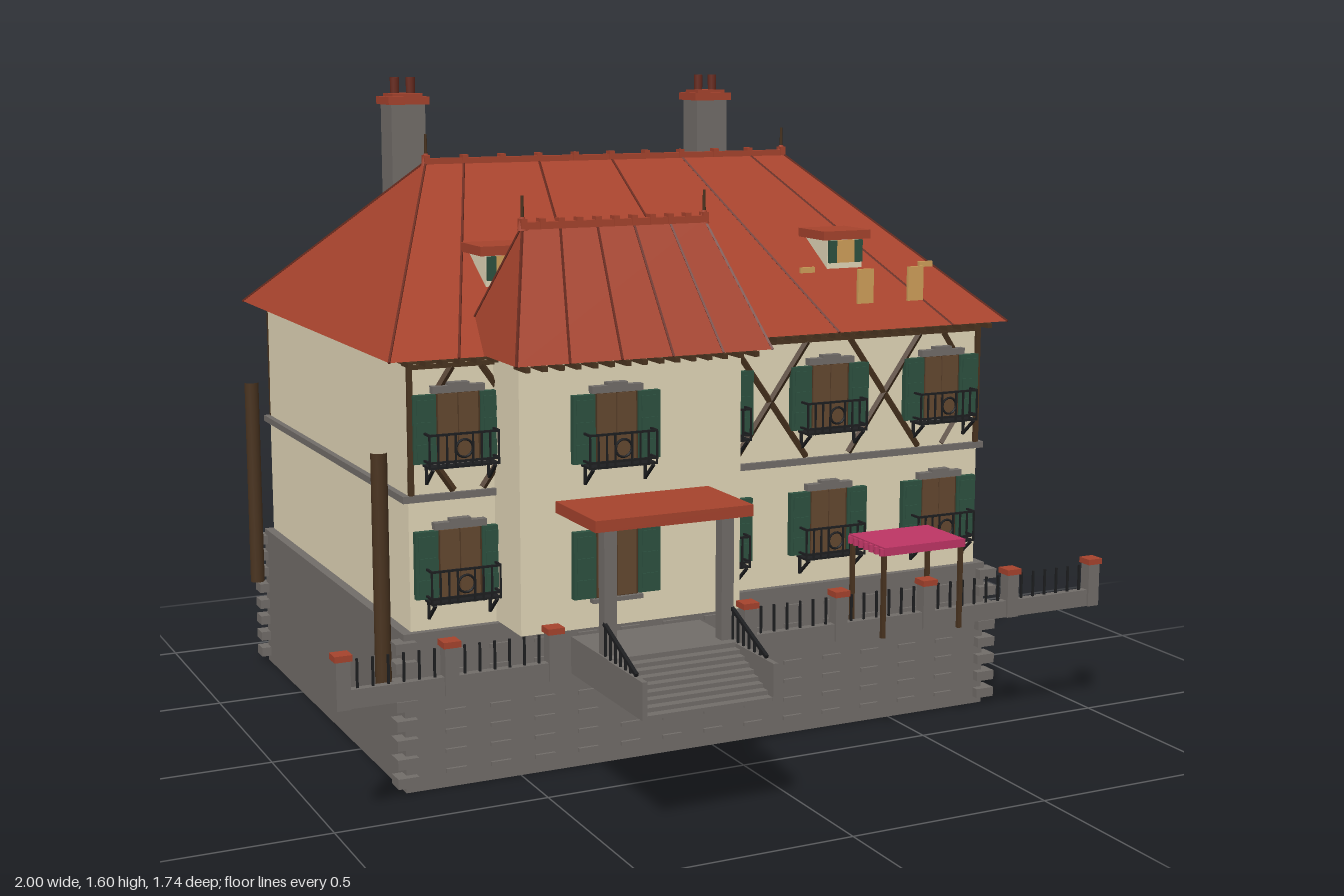
import * as THREE from 'three';

const mat = (name, color, extra = {}) => Object.assign(new THREE.MeshStandardMaterial({ color, ...extra }), { name });
const M = {
  stone: mat('stone grey', 0x726d69),
  cream: mat('cream plaster', 0xe2d7b8),
  tile: mat('terracotta tile', 0xa6432d),
  green: mat('shutter green', 0x2d5140),
  wood: mat('window brown', 0x644830),
  timber: mat('dark timber', 0x4a3420),
  iron: mat('black iron', 0x1d1e20),
  tan: mat('pale tan', 0xd0a05a),
  pink: mat('awning pink', 0xbe3565),
  clay: mat('dark clay', 0x6a2c20, { side: THREE.DoubleSide }),
};

const unit = new THREE.BoxGeometry(1, 1, 1);
const Z = new THREE.Vector3(0, 0, 1);

// Box given by its centre and size
function box(parent, name, m, x, y, z, w, h, d) {
  const b = new THREE.Mesh(unit, m);
  b.name = name;
  b.position.set(x, y, z);
  b.scale.set(w, h, d);
  parent.add(b);
  return b;
}

// Box given by its limits
const span = (p, name, m, x0, x1, y0, y1, z0, z1) =>
  box(p, name, m, (x0 + x1) / 2, (y0 + y1) / 2, (z0 + z1) / 2, x1 - x0, y1 - y0, z1 - z0);

// Thin bar between two points, in the parent's own frame
function bar(p, name, m, a, b, t) {
  const A = new THREE.Vector3(...a), D = new THREE.Vector3(...b).sub(A), len = D.length();
  const c = A.addScaledVector(D, 0.5);
  box(p, name, m, c.x, c.y, c.z, t, t, len).quaternion.setFromUnitVectors(Z, D.normalize());
}

function cyl(p, name, m, x, y, z, r0, r1, h, n = 10, open = false) {
  const c = new THREE.Mesh(new THREE.CylinderGeometry(r1, r0, h, n, 1, open), m);
  c.name = name;
  c.position.set(x, y + h / 2, z);
  p.add(c);
}

function group(p, name, x = 0, y = 0, z = 0) {
  const g = new THREE.Group();
  g.name = name;
  g.position.set(x, y, z);
  p.add(g);
  return g;
}

// Hipped roof with ribs, seams, ridge tiles and finials
function hipRoof(p, name, o) {
  const g = group(p, name);
  const { x0, x1, z0, z1, y0, r0, r1, rz, y1 } = o;
  const a = [x0, y0, z1], b = [x1, y0, z1], c = [x1, y0, z0], d = [x0, y0, z0], r = [r0, y1, rz], s = [r1, y1, rz];
  const tris = [a, b, s, a, s, r, b, c, s, c, d, r, c, r, s, d, a, r, a, d, c, a, c, b];
  const geo = new THREE.BufferGeometry();
  geo.setAttribute('position', new THREE.Float32BufferAttribute(tris.flat(), 3));
  geo.computeVertexNormals();
  const m = new THREE.Mesh(geo, M.tile);
  m.name = 'roofSlopes';
  g.add(m);
  for (const [u, v] of [[a, r], [d, r], [b, s], [c, s]]) bar(g, 'hipRib', M.clay, u, v, 0.005);
  const mix = (u, v, t) => u + (v - u) * t;
  for (const t of o.seams) {
    const top = [mix(r0, r1, t), y1, rz];
    for (const z of [z0, z1]) bar(g, 'roofSeam', M.clay, [mix(x0, x1, t), y0, z], top, 0.005);
  }
  span(g, 'ridge', M.tile, r0, r1, y1 - 0.008, y1 + 0.008, rz - 0.01, rz + 0.01);
  for (let i = 0; i <= o.tiles; i++) box(g, 'ridgeTile', M.tile, mix(r0, r1, i / o.tiles), y1 + 0.005, rz, 0.014, 0.022, 0.024);
  for (const x of [r0, r1]) {
    cyl(g, 'finialBase', M.tile, x, y1 - 0.01, rz, 0.013, 0.006, 0.03, 8);
    cyl(g, 'finialSpike', M.timber, x, y1 + 0.015, rz, 0.004, 0.003, 0.052, 6);
  }
}

// Wrought iron balcony, hung on the wall plane z = 0
function balcony(p) {
  const g = group(p, 'balcony'), w = 0.082, d = 0.05, y0 = -0.085, y1 = -0.008;
  span(g, 'balconyFloor', M.iron, -w, w, y0, y0 + 0.005, 0, d);
  for (const y of [y1, y0 + 0.015]) {
    bar(g, 'rail', M.iron, [-w, y, d], [w, y, d], 0.005);
    for (const x of [-w, w]) bar(g, 'sideRail', M.iron, [x, y, 0], [x, y, d], 0.005);
  }
  for (let i = 0; i <= 8; i++) {
    if (i !== 4) bar(g, 'baluster', M.iron, [-w + i * w / 4, y0, d], [-w + i * w / 4, y1, d], 0.004);
  }
  const ring = new THREE.Mesh(new THREE.TorusGeometry(0.02, 0.003, 5, 14), M.iron);
  ring.name = 'railOrnament';
  ring.position.set(0, (y0 + y1) / 2 + 0.005, d);
  g.add(ring);
  for (const x of [-w + 0.008, w - 0.008]) {
    bar(g, 'brace', M.iron, [x, y0, d], [x, y0 - 0.04, 0.003], 0.006);
    bar(g, 'braceFoot', M.iron, [x, y0, 0.004], [x, y0 - 0.042, 0.004], 0.006);
  }
}

// Shuttered window, facing local +z
function windowUnit(p, x, y, z, turn, withBalcony) {
  const g = group(p, 'window', x, y, z);
  g.rotation.y = turn;
  box(g, 'frame', M.timber, 0, 0, 0.005, 0.106, 0.166, 0.01);
  for (const s of [-1, 1]) {
    box(g, 'pane', M.wood, s * 0.0245, 0, 0.008, 0.046, 0.155, 0.012);
    box(g, 'shutter', M.green, s * 0.08, 0, 0.008, 0.054, 0.155, 0.016);
    for (const k of [-0.05, 0, 0.05]) box(g, 'shutterSlat', M.green, s * 0.08, k, 0.011, 0.04, 0.034, 0.016);
  }
  box(g, 'lintel', M.stone, 0, 0.088, 0.01, 0.125, 0.016, 0.02);
  box(g, 'keystone', M.stone, 0, 0.097, 0.01, 0.05, 0.012, 0.02);
  box(g, 'sill', M.stone, 0, -0.085, 0.01, 0.125, 0.01, 0.02);
  if (withBalcony) balcony(g);
}

function dormer(p, x, z, dir) {
  const g = group(p, 'dormer', x, 0, z);
  if (dir < 0) g.rotation.y = Math.PI;
  span(g, 'dormerBody', M.cream, -0.05, 0.05, 1.1, 1.2, -0.06, 0.052);
  box(g, 'dormerPane', M.tan, 0, 1.168, 0.054, 0.05, 0.056, 0.008);
  for (const s of [-1, 1]) box(g, 'dormerShutter', M.green, s * 0.037, 1.168, 0.055, 0.022, 0.056, 0.009);
  span(g, 'dormerRoof', M.tile, -0.067, 0.067, 1.198, 1.22, -0.064, 0.064);
}

function chimney(p, x, z) {
  const g = group(p, 'chimney', x, 0, z);
  span(g, 'stack', M.stone, -0.045, 0.045, 1.1, 1.53, -0.042, 0.042);
  span(g, 'cap', M.tile, -0.054, 0.054, 1.528, 1.548, -0.05, 0.05);
  span(g, 'capTop', M.tile, -0.04, 0.04, 1.548, 1.556, -0.038, 0.038);
  for (const s of [-0.021, 0.021]) cyl(g, 'pot', M.clay, s, 1.55, 0, 0.011, 0.012, 0.046, 10, true);
}

export function createModel() {
  const root = new THREE.Group();
  root.name = 'villa';
  const ZF = 0.32, ZB = -0.82;

  // Stone basement with corner blocks and course marks
  const base = group(root, 'basement');
  span(base, 'basementWall', M.stone, -0.78, 0.78, 0, 0.372, -0.828, 0.337);
  for (let i = 0; i < 8; i++) {
    for (const sx of [-1, 1]) for (const z of [0.333, -0.824])
      box(base, 'cornerBlock', M.stone, sx * 0.78, 0.03 + i * 0.045, z, 0.05, 0.024, 0.046);
  }
  for (let i = 0; i < 7; i++) for (let k = 0; k < 13; k++) for (const z of [0.338, -0.829])
    box(base, 'courseMark', M.stone, -0.66 + k * 0.11, 0.04 + i * 0.047, z, 0.05, 0.01, 0.012);

  // Plastered walls, string course and wall plate
  span(root, 'mainWalls', M.cream, -0.757, 0.757, 0.37, 0.993, ZB, ZF);
  span(root, 'stringCourse', M.stone, -0.772, 0.772, 0.67, 0.686, ZB - 0.01, ZF + 0.01);
  span(root, 'wallPlate', M.timber, -0.765, 0.765, 0.982, 0.994, ZB - 0.008, ZF + 0.008);
  span(root, 'towerWalls', M.cream, -0.55, 0, 0.375, 0.997, 0.1, 0.472);

  // Roofs
  hipRoof(root, 'mainRoof', { x0: -0.81, x1: 0.81, z0: -0.868, z1: 0.366, y0: 0.995, r0: -0.5, r1: 0.5, rz: -0.25, y1: 1.393,
    seams: [0.1, 0.3, 0.5, 0.7, 0.9], tiles: 10 });
  hipRoof(root, 'towerRoof', { x0: -0.588, x1: 0.037, z0: 0.205, z1: 0.555, y0: 0.997, r0: -0.5, r1: -0.05, rz: 0.38, y1: 1.283,
    seams: [0.2, 0.4, 0.6, 0.8], tiles: 10 });

  // Rafter tails under the eaves
  const tails = group(root, 'rafterTails');
  for (let i = 0; i <= 38; i++) for (const z of [0.34, -0.842]) box(tails, 'rafterTail', M.timber, -0.76 + i * 0.04, 0.986, z, 0.012, 0.012, 0.048);
  for (let i = 0; i <= 14; i++) box(tails, 'rafterTail', M.timber, -0.555 + i * 0.04, 0.986, 0.505, 0.012, 0.012, 0.07);

  // Timber framing on the upper storey, front and back
  for (const [z, s] of [[ZF, 1], [ZB, -1]]) {
    const f = group(root, 'timberFrame', 0, 0, z + s * 0.002);
    box(f, 'topBeam', M.timber, 0, 0.975, 0, 1.514, 0.01, 0.014);
    for (const x of [-0.751, 0.751]) box(f, 'cornerPost', M.timber, x, 0.83, 0, 0.012, 0.29, 0.014);
    for (const x of [-0.48, -0.16, 0.16, 0.48]) for (const k of [-1, 1])
      bar(f, 'crossBrace', M.timber, [x - k * 0.1, 0.69, 0], [x + k * 0.1, 0.972, 0], 0.012);
    for (const k of [-1, 1]) {
      bar(f, 'halfBrace', M.timber, [k * 0.745, 0.83, 0], [k * 0.65, 0.972, 0], 0.012);
      bar(f, 'halfBrace', M.timber, [k * 0.745, 0.83, 0], [k * 0.65, 0.69, 0], 0.012);
    }
  }

  // Windows
  for (let i = -2; i <= 2; i++) {
    const x = i * 0.32, tower = i === -1, z = tower ? 0.472 : ZF;
    windowUnit(root, x, 0.835, z, 0, true);
    windowUnit(root, x, 0.525, z, 0, !tower);
    windowUnit(root, x, 0.835, ZB, Math.PI, true);
    windowUnit(root, x, 0.525, ZB, Math.PI, false);
  }

  // Dormers, chimneys and roof boards
  for (const x of [-0.455, 0, 0.455]) {
    dormer(root, x, 0.112, 1);
    dormer(root, x, -0.613, -1);
  }
  chimney(root, -0.488, -0.452);
  chimney(root, 0.395, -0.492);
  for (const x of [0.443, 0.587]) box(root, 'roofBoard', M.tan, x, 1.093, 0.285, 0.044, 0.085, 0.008);
  for (const x of [0.34, 0.685]) box(root, 'roofPeg', M.tan, x, 1.127, 0.178, 0.04, 0.014, 0.008);
  box(root, 'roofPeg', M.tan, 0.708, 1.13, 0.035, 0.008, 0.014, 0.012);

  // Porch canopy, columns, steps and handrails
  const porch = group(root, 'porch');
  span(porch, 'canopy', M.tile, -0.465, -0.083, 0.65, 0.676, 0.46, 0.692);
  for (const x of [-0.418, -0.132]) {
    span(porch, 'column', M.stone, x - 0.015, x + 0.015, 0.36, 0.65, 0.635, 0.665);
  }
  span(porch, 'landing', M.stone, -0.437, -0.113, 0.28, 0.366, 0.49, 0.69);
  for (let i = 0; i < 8; i++) span(porch, 'step', M.stone, -0.43, -0.12, 0.28, 0.355 - i * 0.0095, 0.68, 0.713 + i * 0.0215);
  for (const x of [-0.431, -0.119]) {
    span(porch, 'stepCheek', M.stone, x - 0.006, x + 0.006, 0.28, 0.364, 0.685, 0.866);
    bar(porch, 'handrail', M.iron, [x, 0.438, 0.66], [x, 0.368, 0.825], 0.008);
    for (let i = 0; i < 6; i++) bar(porch, 'railPost', M.iron, [x, 0.36, 0.665 + i * 0.026], [x, 0.436 - i * 0.0112, 0.665 + i * 0.026], 0.005);
  }

  // Garden wall with capped posts and iron pickets
  const fence = group(root, 'gardenFence', 0, 0, 0.514);
  for (let i = -4; i <= 4; i++) {
    const x = i * 0.245;
    if (i !== -1) {
      box(fence, 'fencePost', M.stone, x, 0.335, 0, 0.032, 0.11, 0.032);
      box(fence, 'postCap', M.tile, x, 0.395, 0, 0.04, 0.014, 0.04);
    }
    if (i === 4 || i === -1 || i === -2) continue;
    span(fence, 'fenceWall', M.stone, x, x + 0.245, 0.28, 0.322, -0.01, 0.01);
    for (let k = 1; k <= 6; k++) box(fence, 'picket', M.iron, x + k * 0.035, 0.352, 0, 0.005, 0.07, 0.005);
  }

  // Pink awning on four legs with a scalloped edge
  const awning = group(root, 'awning', 0.455, 0, 0.477);
  box(awning, 'awningTop', M.pink, 0, 0.493, 0, 0.225, 0.02, 0.165);
  for (const sx of [-1, 1]) {
    for (const sz of [-1, 1]) box(awning, 'awningLeg', M.timber, sx * 0.108, 0.382, sz * 0.072, 0.01, 0.204, 0.01);
    for (let i = 0; i < 7; i++) cyl(awning, 'scallop', M.pink, sx * 0.113, 0.482, -0.072 + i * 0.024, 0.008, 0.008, 0.018, 8);
  }

  // Tall hollow poles beside the side walls
  for (const [x, z] of [[0.82, -0.768], [-0.82, -0.768], [-0.82, 0.31]])
    cyl(root, 'pole', M.timber, x, 0.242, z, 0.019, 0.019, 0.546, 12, true);

  return root;
}
